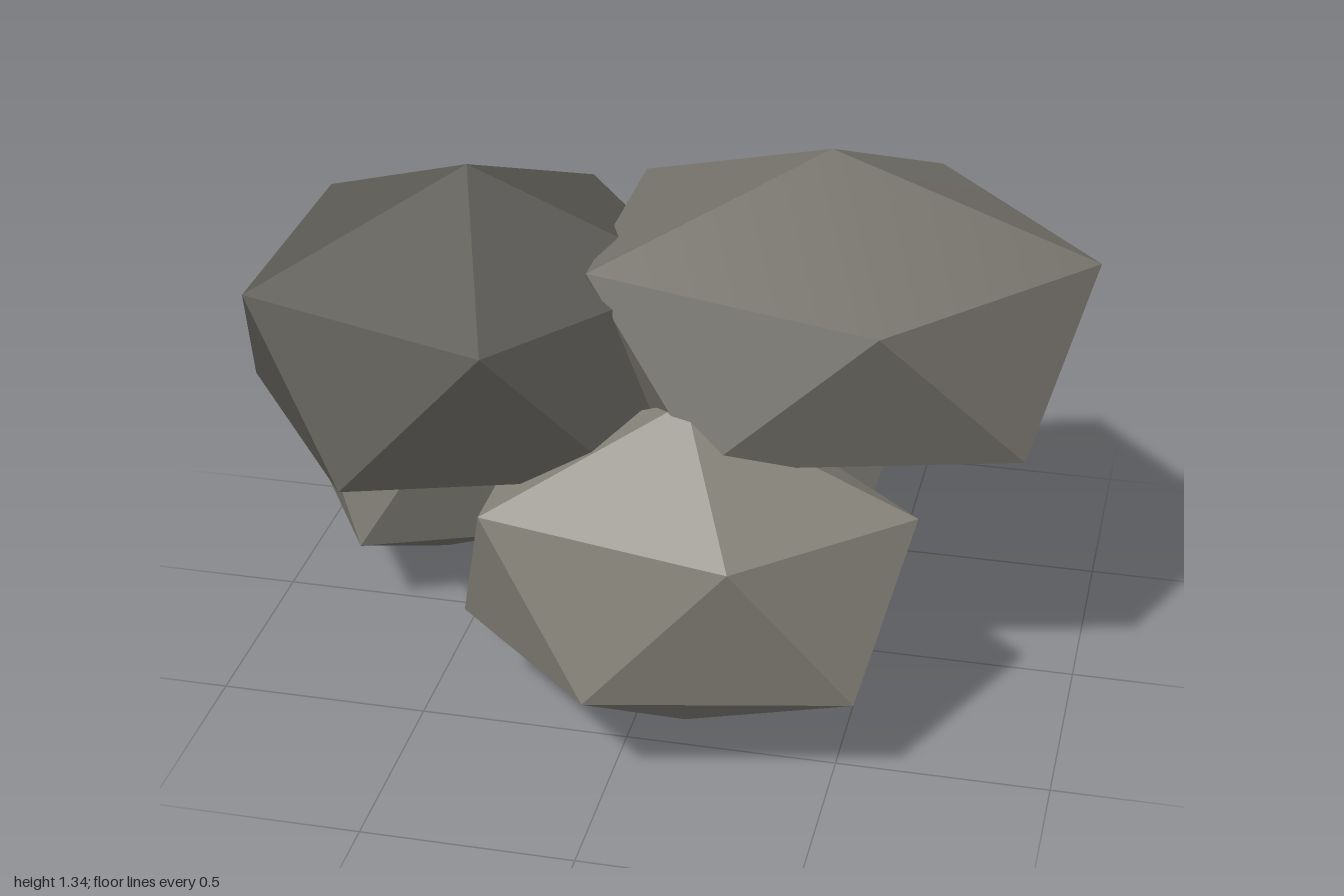
import * as THREE from 'three';
import { ConvexGeometry } from 'three/addons/geometries/ConvexGeometry.js';
import { toCreasedNormals } from 'three/addons/utils/BufferGeometryUtils.js';

// Stretched icosahedron standing on a pole: two staggered rings of five corners.
// Ring radii are rx and rz, h is half the height.
function boulderGeometry(rx, h, rz) {
  const points = [new THREE.Vector3(0, h, 0), new THREE.Vector3(0, -h, 0)];
  const ringY = h / Math.sqrt(5);
  for (let i = 0; i < 10; i++) {
    const a = (i * Math.PI) / 5;
    const y = i % 2 === 0 ? ringY : -ringY;
    points.push(new THREE.Vector3(rx * Math.cos(a), y, rz * Math.sin(a)));
  }
  // Shallow edges are smooth, steep ones stay sharp
  return toCreasedNormals(new ConvexGeometry(points), Math.PI / 6);
}

export function createModel() {
  const group = new THREE.Group();
  group.name = 'rockPile';

  const boulders = [
    { name: 'topLeftBoulder', at: [0.375, 0.928, 0.01], size: [0.625, 0.408, 0.52], color: 0x75726b },
    { name: 'topRightBoulder', at: [-0.455, 0.86, 0.14], size: [0.55, 0.415, 0.547], color: 0x5c5a55 },
    { name: 'frontBaseBoulder', at: [0.125, 0.445, 0.427], size: [0.535, 0.425, 0.355], color: 0x858279 },
    { name: 'backBaseBoulder', at: [-0.04, 0.513, -0.403], size: [0.615, 0.475, 0.376], color: 0x75726b },
    { name: 'smallBaseBoulder', at: [-0.665, 0.375, -0.265], size: [0.335, 0.375, 0.407], color: 0x7c7971 },
  ];

  for (const { name, at, size, color } of boulders) {
    const mesh = new THREE.Mesh(boulderGeometry(...size), new THREE.MeshStandardMaterial({ color }));
    mesh.name = name;
    mesh.position.set(...at);
    group.add(mesh);
  }
  return group;
}
